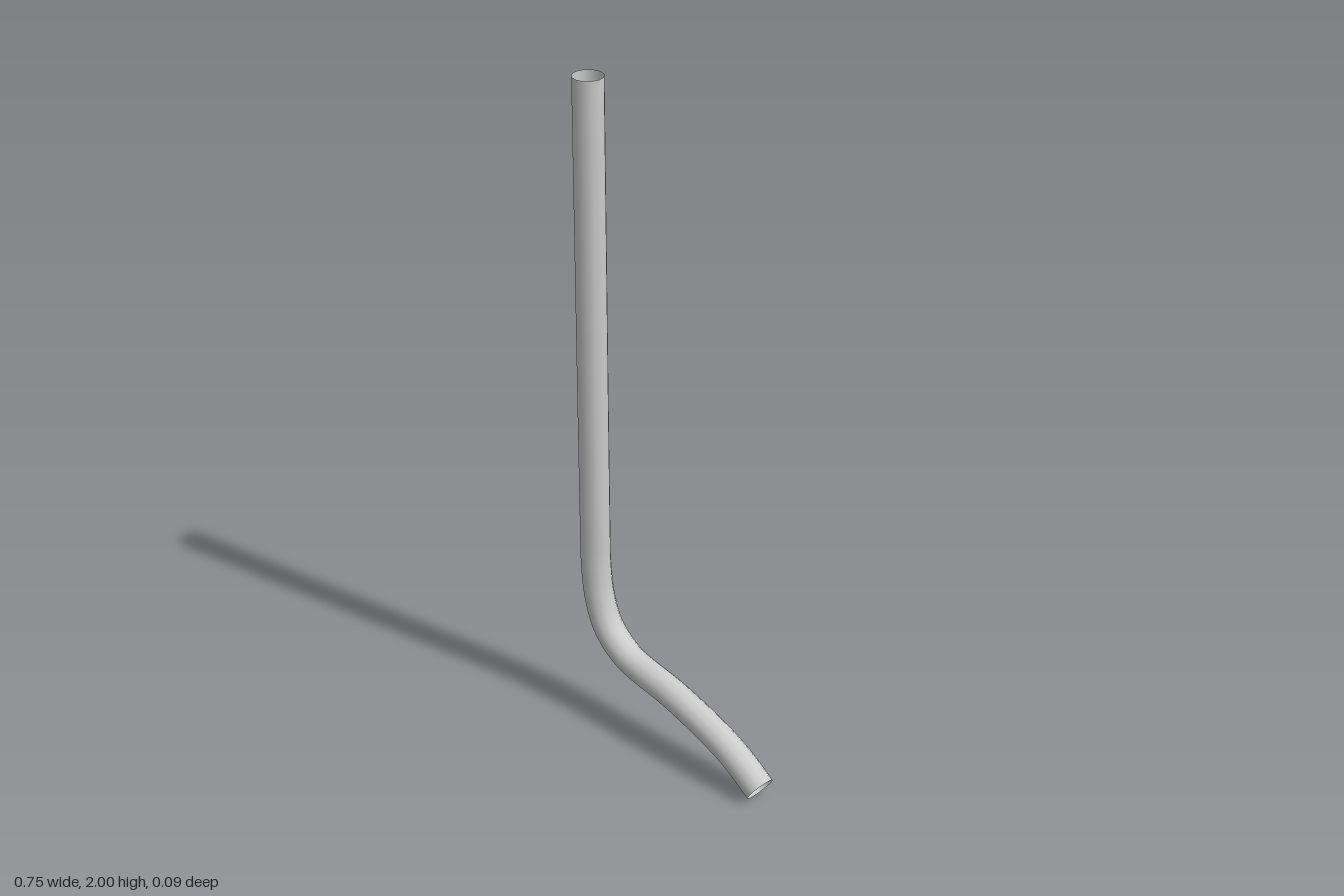
import * as THREE from 'three';

export function createModel() {
  const group = new THREE.Group();
  group.name = 'bentPipe';

  // Centre line: long straight shaft, tight elbow, gently drooping foot
  const path = new THREE.CatmullRomCurve3([
    [-0.331, 2], [-0.332, 1.5], [-0.333, 1], [-0.333, 0.6], [-0.332, 0.5],
    [-0.319, 0.39], [-0.281, 0.295], [-0.2, 0.23], [0, 0.185],
    [0.175, 0.13], [0.265, 0.087], [0.344, 0.034],
  ].map(([x, y]) => new THREE.Vector3(x, y, 0)));

  // Thin-walled tube, open at both ends
  const pipe = new THREE.Mesh(
    new THREE.TubeGeometry(path, 96, 0.045, 12, false),
    new THREE.MeshStandardMaterial({ color: 0xcccccc, side: THREE.DoubleSide })
  );
  pipe.name = 'pipe';
  group.add(pipe);
  return group;
}
